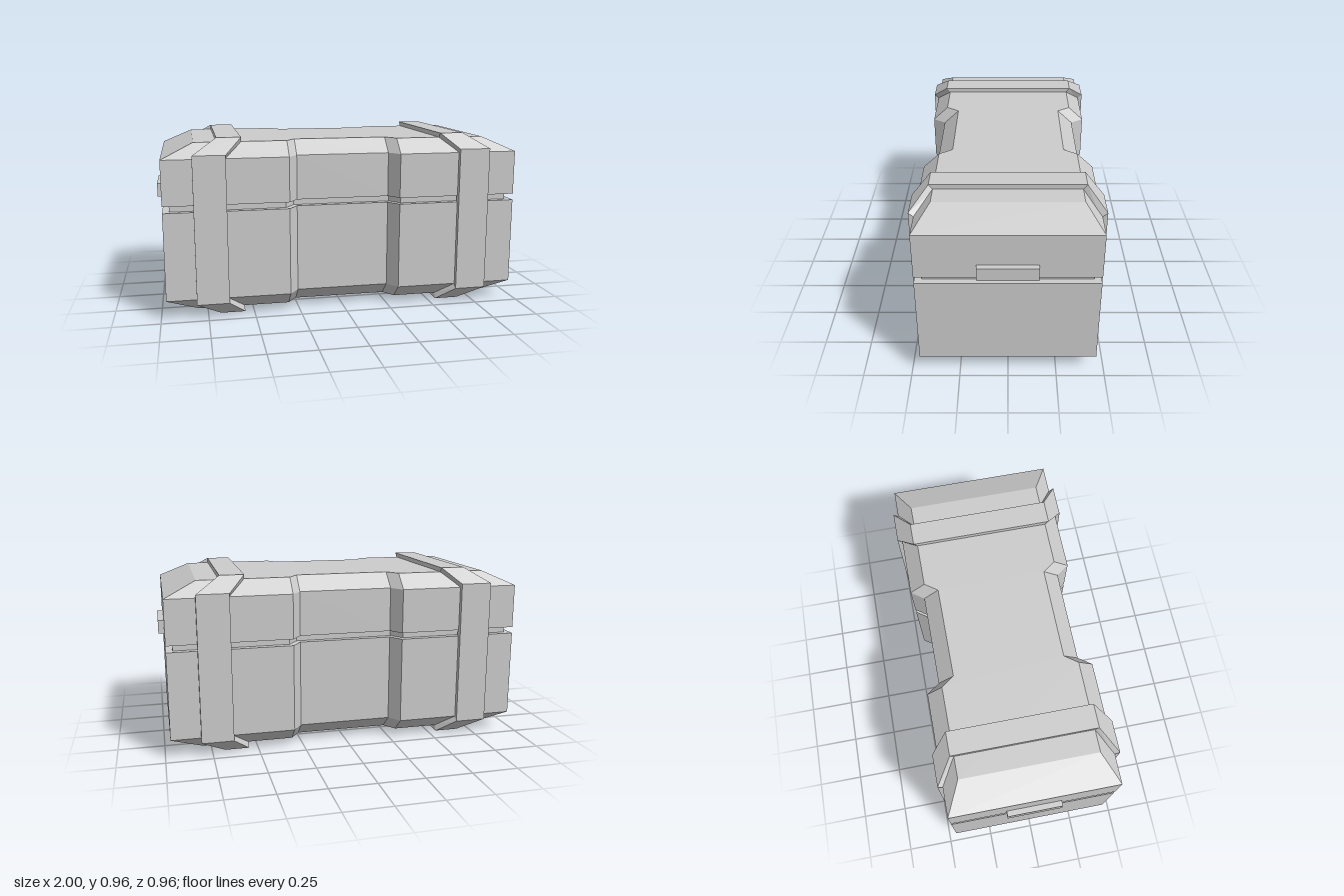
import * as THREE from 'three';

const material = new THREE.MeshStandardMaterial({ color: 0xcccccc, flatShading: true });

// Skins a list of equal-length rings of [x, y, z]; open lofts get flat end caps.
function loft(rings, closed = false) {
  const positions = [];
  const tri = (...corners) => corners.forEach((p) => positions.push(...p));
  const n = rings[0].length;
  const spans = closed ? rings.length : rings.length - 1;
  for (let i = 0; i < spans; i++) {
    const r = rings[i], q = rings[(i + 1) % rings.length];
    for (let j = 0; j < n; j++) {
      const k = (j + 1) % n;
      tri(r[j], r[k], q[k]);
      tri(r[j], q[k], q[j]);
    }
  }
  if (!closed) {
    const first = rings[0], last = rings[rings.length - 1];
    for (let j = 1; j < n - 1; j++) {
      tri(first[0], first[j + 1], first[j]);
      tri(last[0], last[j], last[j + 1]);
    }
  }
  const geometry = new THREE.BufferGeometry();
  geometry.setAttribute('position', new THREE.Float32BufferAttribute(positions, 3));
  geometry.computeVertexNormals();
  return geometry;
}

function part(name, geometry) {
  const mesh = new THREE.Mesh(geometry, material);
  mesh.name = name;
  return mesh;
}

// Half-length stations [x, side z, flat z, is end], waisted in the middle
const half = [
  [0.255, 0.385, 0.3, false],
  [0.305, 0.455, 0.37, false],
  [0.8, 0.455, 0.37, false],
  [0.97, 0.455, 0.455, true],
];
const stations = [...half.map(([x, ...rest]) => [-x, ...rest]).reverse(), ...half];

// One half of the case: rim at the seam, shoulder, then the bevelled flat face
function shell(rim, shoulder, flat) {
  return loft(stations.map(([x, side, inner, end]) => {
    const y = end ? shoulder : flat;
    const ring = [
      [x, y, -inner], [x, y, inner], [x, shoulder, side],
      [x, rim, side], [x, rim, -side], [x, shoulder, -side],
    ];
    return flat < rim ? ring.reverse() : ring;
  }));
}

// Recessed band behind the seam, inset from the shells
function seam() {
  const inset = 0.035;
  const plan = [[0.27, 0.385], [0.32, 0.455], [0.97 - inset, 0.455]];
  const all = [...plan.map(([x, z]) => [-x, z]).reverse(), ...plan];
  return loft(all.map(([x, z]) => {
    const w = z - inset;
    return [[x, 0.63, -w], [x, 0.63, w], [x, 0.565, w], [x, 0.565, -w]];
  }));
}

// Octagonal band around the case; its bevels slant towards the middle
function strap(s) {
  const mid = 0.48;
  const quarter = [
    { y: 0.48, z: 0.39, iy: 0.448, iz: 0.365, x: [0.55, 0.68] },
    { y: 0.398, z: 0.48, iy: 0.37, iz: 0.445, x: [0.638, 0.81] },
  ];
  const [top, side] = quarter;
  const loop = [
    [top, 1, -1], [top, 1, 1], [side, 1, 1], [side, -1, 1],
    [top, -1, 1], [top, -1, -1], [side, -1, -1], [side, 1, -1],
  ];
  return loft(loop.map(([c, sy, sz]) => {
    const [a, b] = s > 0 ? c.x : [-c.x[1], -c.x[0]];
    const yIn = mid + sy * c.iy, yOut = mid + sy * c.y;
    return [
      [a, yIn, sz * c.iz], [b, yIn, sz * c.iz],
      [b, yOut, sz * c.z], [a, yOut, sz * c.z],
    ];
  }), true);
}

export function createModel() {
  const chest = new THREE.Group();
  chest.name = 'chest';

  chest.add(part('base', shell(0.58, 0.105, 0.028)));
  chest.add(part('lid', shell(0.615, 0.857, 0.935)));
  chest.add(part('seamBand', seam()));

  for (const s of [1, -1]) {
    const label = s > 0 ? 'left' : 'right';
    chest.add(part(`${label}Strap`, strap(s)));

    // Grip plate on the end of the lid
    const handle = part(`${label}Handle`, new THREE.BoxGeometry(0.05, 0.073, 0.3));
    handle.position.set(s * 0.975, 0.6525, 0);
    chest.add(handle);
  }
  return chest;
}
